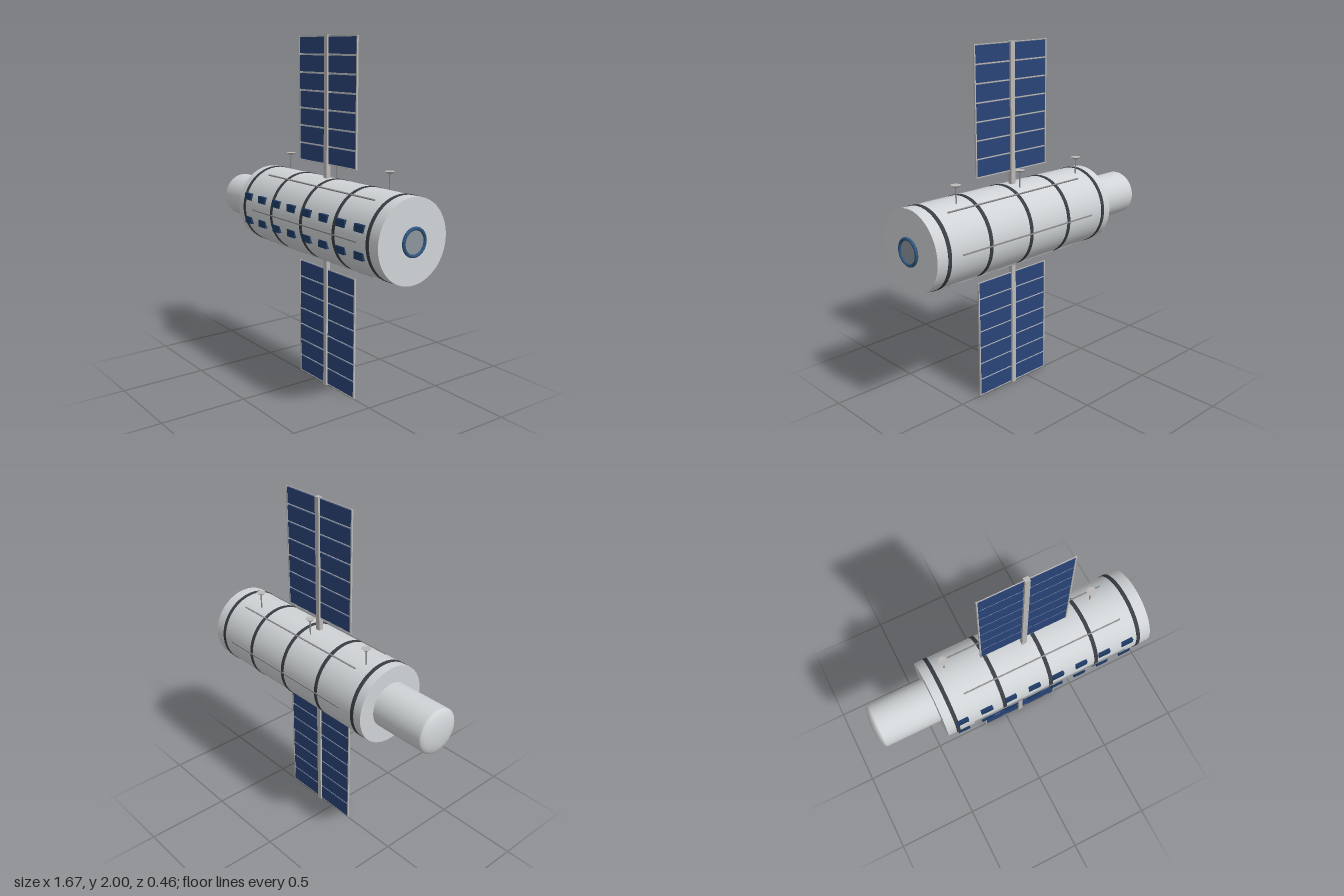
import * as THREE from 'three';

const mat = (name, color) => new THREE.MeshStandardMaterial({ name, color });

export function createModel() {
  const hull = mat('hull white', 0xd0d4d6);
  const metal = mat('light metal', 0xbcbab8);
  const railGrey = mat('rail grey', 0x8c8e90);
  const dark = mat('dark band', 0x3a3e44);
  const solar = mat('solar blue', 0x2a4478);
  const glass = mat('window blue', 0x1f3b66);
  const portBlue = mat('port blue', 0x2f5580);
  const portGrey = mat('port grey', 0x8d969c);

  const root = new THREE.Group();
  root.name = 'spaceStation';
  const station = new THREE.Group();
  station.name = 'station';
  station.position.y = 1;
  root.add(station);

  const add = (name, geometry, material, x, y, z, parent = station) => {
    const m = new THREE.Mesh(geometry, material);
    m.name = name;
    m.position.set(x, y, z);
    parent.add(m);
    return m;
  };
  // Cylinder lying along x
  const tubeX = (r, length, open = false) =>
    new THREE.CylinderGeometry(r, r, length, 64, 1, open).rotateZ(-Math.PI / 2);

  // Main hull and its dark bands
  add('mainHull', tubeX(0.225, 1.285), hull, 0.1725, 0, 0);
  for (const x of [-0.407, -0.117, 0.173, 0.463, 0.737]) {
    add('hullBand', tubeX(0.228, 0.022), dark, x, 0, 0);
  }

  // Narrow rear module with a shallow domed end
  const profile = [new THREE.Vector2(0.13, 0)];
  for (let i = 0; i <= 12; i++) {
    const a = (i / 12) * Math.PI / 2;
    profile.push(new THREE.Vector2(i === 12 ? 0 : 0.13 * Math.cos(a), 0.33 + 0.039 * Math.sin(a)));
  }
  add('rearModule', new THREE.LatheGeometry(profile, 48).rotateZ(Math.PI / 2), hull, -0.466, 0, 0);

  // Docking port on the +x end
  add('dockingHatch', tubeX(0.066, 0.012), portGrey, 0.819, 0, 0);
  add('dockingRing', new THREE.TorusGeometry(0.07, 0.009, 12, 48).rotateY(Math.PI / 2), portBlue, 0.826, 0, 0);

  // Six handrails around the hull
  for (let i = 0; i < 6; i++) {
    const a = (i * Math.PI) / 3;
    const rail = add('handrail', new THREE.BoxGeometry(0.965, 0.007, 0.007), railGrey,
      0.1725, 0.2275 * Math.sin(a), 0.2275 * Math.cos(a));
    rail.rotation.x = -a;
  }

  // Two rows of windows on the front side
  const pane = new THREE.BoxGeometry(0.07, 0.04, 0.02);
  for (let i = 0; i < 8; i++) {
    for (const y of [-0.07, 0.07]) add('window', pane, glass, -0.373 + i * 0.148, y, 0.2135);
  }

  // Three small dish antennas on top
  for (const x of [-0.341, 0.11, 0.56]) {
    const antenna = new THREE.Group();
    antenna.name = 'antenna';
    antenna.position.set(x, 0.21, -0.065);
    station.add(antenna);
    add('mast', new THREE.CylinderGeometry(0.004, 0.004, 0.092, 10), railGrey, 0, 0.046, 0, antenna);
    add('dish', new THREE.CylinderGeometry(0.027, 0.013, 0.012, 32), metal, 0, 0.097, 0, antenna);
  }

  // Central boom carrying two solar wings
  const boomX = 0.108;
  add('boom', new THREE.BoxGeometry(0.028, 2, 0.026), metal, boomX, 0, 0);
  const cell = new THREE.BoxGeometry(0.236, 0.089, 0.007);
  const bar = new THREE.BoxGeometry(0.51, 0.004, 0.004);
  const edge = new THREE.BoxGeometry(0.007, 0.698, 0.01);
  for (const s of [-1, 1]) {
    const wing = new THREE.Group();
    wing.name = s > 0 ? 'upperSolarWing' : 'lowerSolarWing';
    wing.position.set(boomX, s * 0.648, 0);
    station.add(wing);
    for (const side of [-1, 1]) {
      add('wingEdge', edge, metal, side * 0.257, 0, 0, wing);
      for (let i = 0; i < 7; i++) {
        add('solarCell', cell, solar, side * 0.134, (i - 3) * 0.0993, 0, wing);
      }
    }
    for (let i = 0; i < 8; i++) add('crossBar', bar, metal, 0, (i - 3.5) * 0.0993, 0, wing);
  }
  return root;
}
